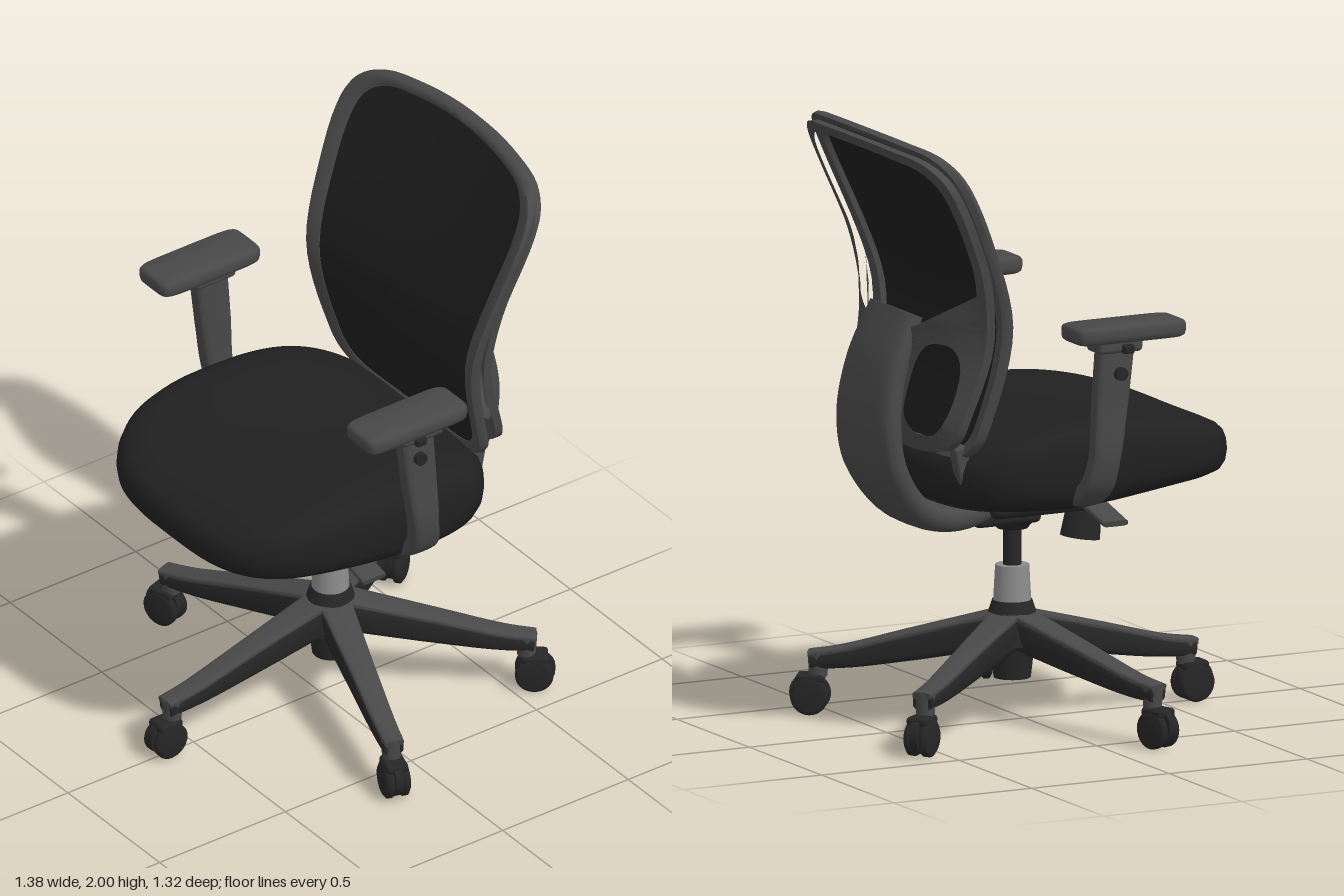
import * as THREE from 'three';
import { toCreasedNormals } from 'three/addons/utils/BufferGeometryUtils.js';
import { RoundedBoxGeometry } from 'three/addons/geometries/RoundedBoxGeometry.js';

const V = (x, y, z) => new THREE.Vector3(x, y, z);
const { lerp, smoothstep } = THREE.MathUtils;

// Skin a list of equal-length closed loops; turns faces outward by signed volume.
function loft(loops, { wrap = false, caps = false, crease = 0.7 } = {}) {
  if (caps) {
    const mid = (l) => {
      const c = l.reduce((a, p) => a.add(p), V(0, 0, 0)).divideScalar(l.length);
      return l.map(() => c.clone());
    };
    loops = [mid(loops[0]), ...loops, mid(loops[loops.length - 1])];
  }
  const n = loops[0].length, tris = [];
  const last = wrap ? loops.length : loops.length - 1;
  for (let i = 0; i < last; i++) {
    const a = loops[i], b = loops[(i + 1) % loops.length];
    for (let j = 0; j < n; j++) {
      const k = (j + 1) % n;
      tris.push([a[j], a[k], b[k]], [a[j], b[k], b[j]]);
    }
  }
  const good = tris.filter(([p, q, r]) => p.distanceTo(q) > 1e-6 && q.distanceTo(r) > 1e-6 && r.distanceTo(p) > 1e-6);
  const vol = good.reduce((s, [p, q, r]) => s + p.dot(q.clone().cross(r)), 0);
  const pts = good.flatMap(([p, q, r]) => (vol < 0 ? [p, r, q] : [p, q, r]));
  return toCreasedNormals(new THREE.BufferGeometry().setFromPoints(pts), crease);
}

// Rounded section swept along points [x, y, z, halfWidth, halfThickness].
function sweep(path, wide, steps = 24, squareness = 4) {
  const curve = new THREE.CatmullRomCurve3(path.map((p) => V(p[0], p[1], p[2])));
  const loops = [];
  for (let i = 0; i <= steps; i++) {
    const t = i / steps, f = t * (path.length - 1), k = Math.min(Math.floor(f), path.length - 2);
    const size = (m) => lerp(path[k][m], path[k + 1][m], f - k);
    const nrm = curve.getTangent(t).cross(wide).normalize(), c = curve.getPoint(t);
    loops.push(superellipse(24, squareness).map(([u, v]) =>
      c.clone().addScaledVector(wide, u * size(3)).addScaledVector(nrm, v * size(4))));
  }
  return loft(loops, { caps: true });
}

function superellipse(n, e) {
  return Array.from({ length: n }, (_, i) => {
    const a = (i / n) * Math.PI * 2, c = Math.cos(a), s = Math.sin(a);
    return [Math.sign(c) * Math.abs(c) ** (2 / e), Math.sign(s) * Math.abs(s) ** (2 / e)];
  });
}

// Halve the longest edge of every triangle until none exceeds max.
function subdivide(geo, max) {
  const p = geo.attributes.position, out = [], stack = [];
  for (let i = 0; i < p.count; i += 3) stack.push([0, 1, 2].map((k) => V(0, 0, 0).fromBufferAttribute(p, i + k)));
  while (stack.length) {
    const t = stack.pop();
    const len = t.map((v, k) => v.distanceTo(t[(k + 1) % 3]));
    const longest = Math.max(...len), k = len.indexOf(longest);
    if (longest <= max) { out.push(...t); continue; }
    const a = t[k], b = t[(k + 1) % 3], c = t[(k + 2) % 3], m = a.clone().lerp(b, 0.5);
    stack.push([a, m, c], [m, b, c]);
  }
  return out;
}

// Curved surface of the backrest: lumbar bulge, leaning top, hollow across.
function backZ(x, y) {
  const lean = Math.hypot(y - 1.36, 0.15) - 0.15;
  return -0.272 - (y > 1.36 ? 0.48 : 0.32) * lean - (0.01 + 0.052 * (y - 0.95)) * (1 - (x / 0.5) ** 2);
}

// Backrest outline, mirrored about x = 0.
const half = [[0.25, 1.99], [0.42, 1.965], [0.49, 1.91], [0.51, 1.82], [0.49, 1.6],
  [0.455, 1.35], [0.42, 1.1], [0.395, 1.0], [0.33, 0.95]];
const ring = [[0, 2], ...half, [0, 0.94], ...half.map(([x, y]) => [-x, y]).reverse()];
const outline = new THREE.CatmullRomCurve3(ring.map(([x, y]) => V(x, y, 0)), true).getPoints(96).slice(0, -1);
const inset = (sx, sy = 1 - (1 - sx) * 0.45) => outline.map((p) => [p.x * sx, 1.46 + (p.y - 1.46) * sy]);
const onBack = (list, dz) => list.map(([x, y]) => V(x, y, backZ(x, y) + dz));

export function createModel() {
  const chair = new THREE.Group();
  const material = (name, color, side = THREE.FrontSide) => {
    const m = new THREE.MeshStandardMaterial({ color, side });
    m.name = name;
    return m;
  };
  const fabric = material('black fabric', 0x202020);
  const netting = material('black netting', 0x1d1d1d, THREE.DoubleSide);
  const grey = material('dark grey plastic', 0x484848);
  const black = material('black plastic', 0x262626);
  const metal = material('light grey metal', 0x8c8c8c);
  const add = (name, geo, mat, x = 0, y = 0, z = 0, parent = chair) => {
    const m = new THREE.Mesh(geo, mat);
    m.name = name;
    m.position.set(x, y, z);
    parent.add(m);
    return m;
  };
  const cyl = (top, bottom, h, n = 28) => new THREE.CylinderGeometry(top, bottom, h, n);
  const X = V(1, 0, 0), Z = V(0, 0, 1), hubZ = -0.045;

  // Seat cushion: rounded plan with blunt edges and a top falling to front and rear
  const plan = superellipse(80, 3.3);
  const cushion = [[0.01, 0], [0.8, 0], [0.91, 0.03], [0.965, 0.11], [0.99, 0.24], [1, 0.45],
    [0.994, 0.66], [0.975, 0.81], [0.935, 0.91], [0.86, 0.965], [0.7, 0.99], [0.4, 1], [0.01, 1]];
  add('seatCushion', loft(cushion.map(([s, h]) => plan.map(([u, v]) => {
    const z = 0.085 + v * s * 0.525;
    const top = 1.042 + 0.022 * (u * s) ** 2 - 0.32 * (z - 0.1) ** 2;
    const low = 0.77 + 0.045 * smoothstep(z, -0.1, 0.4);
    return V(u * s * 0.51 * (1 - 0.05 * v * Math.abs(v)), low + (top - low) * h, z);
  })), { caps: true, crease: 1.2 }), fabric);
  add('seatPan', loft([[0.7, 0.755], [0.84, 0.765], [0.88, 0.8]].map(([s, y]) =>
    plan.map(([u, v]) => V(u * s * 0.45, y, -0.08 + v * s * 0.36))), { caps: true }), black);

  // Backrest: netting, front rim and rear carrier that bows back to the spine
  const net = inset(0.9);
  add('backNetting', loft([0, 0.2, 0.4, 0.6, 0.8, 1].map((k) =>
    onBack(net.map(([x, y]) => [x * k, 1.46 + (y - 1.46) * k]), -0.01)), { crease: 1 }), netting);
  add('backRim', loft([[0.985, 0], [0.92, 0.002], [0.872, -0.008], [0.88, -0.03], [0.98, -0.038], [1, -0.018]]
    .map(([s, dz]) => onBack(inset(s), dz)), { wrap: true, crease: 0.9 }), grey);
  const to2 = (list) => list.map(([x, y]) => new THREE.Vector2(x, y));
  const frame = new THREE.Shape(to2(inset(0.96, 0.95)));
  frame.holes.push(new THREE.Path(to2(inset(0.87, 0.89).map(([x, y]) =>
    [x, Math.max(y, 1.35 + Math.max(0, Math.abs(x) - 0.15) * 0.55)]))));
  for (const s of [-1, 1]) {
    frame.holes.push(new THREE.Path(to2(superellipse(32, 2.6).map(([u, v]) =>
      [s * (0.262 + u * 0.095 + v * 0.015), 1.17 + v * 0.15]))));
  }
  const flat = new THREE.ExtrudeGeometry(frame, { depth: 0.03, bevelEnabled: false });
  const bent = subdivide(flat, 0.06).map(({ x, y, z }) => {
    const lower = (1 - smoothstep(y, 1.38, 1.62)) * smoothstep(y, 0.85, 1.1);
    const gap = 0.068 + lower * (0.02 + 0.12 * Math.max(0, 1 - (x / 0.43) ** 2));
    return V(x, y, backZ(x, y) - gap + z);
  });
  add('backCarrier', toCreasedNormals(new THREE.BufferGeometry().setFromPoints(bent), 0.7), grey);
  add('spine', sweep([[0, 0.735, -0.1, 0.09, 0.035], [0, 0.695, -0.28, 0.12, 0.045], [0, 0.735, -0.43, 0.16, 0.05],
    [0, 0.88, -0.54, 0.185, 0.05], [0, 1.04, -0.565, 0.185, 0.048], [0, 1.22, -0.535, 0.17, 0.045],
    [0, 1.39, -0.465, 0.15, 0.04]], X, 36, 3), grey);

  // Tilt mechanism, knob and gas column
  add('mechanism', new RoundedBoxGeometry(0.27, 0.1, 0.42, 3, 0.03), black, 0, 0.735, 0.03);
  add('columnSocket', cyl(0.1, 0.05, 0.06), black, 0, 0.66, hubZ);
  add('rearBracket', new RoundedBoxGeometry(0.18, 0.07, 0.24, 3, 0.02), black, 0, 0.69, -0.1);
  add('tensionKnob', cyl(0.055, 0.065, 0.12), black, 0, 0.635, 0.21).rotation.x = 0.15;
  add('knobNeck', cyl(0.035, 0.035, 0.08), black, 0, 0.71, 0.2);
  add('columnRod', cyl(0.03, 0.03, 0.2), black, 0, 0.57, hubZ);
  add('columnSleeve', cyl(0.055, 0.062, 0.13), metal, 0, 0.445, hubZ);

  const padPlan = superellipse(48, 7);
  for (const s of [-1, 1]) {
    const side = s > 0 ? 'left' : 'right';
    // Armrest with its support, collar and buttons
    const arm = new THREE.Group();
    arm.name = side + 'Armrest';
    chair.add(arm);
    add('armSupport', sweep([[0.22, 0.78, -0.03, 0.07, 0.02], [0.42, 0.795, -0.03, 0.065, 0.025],
      [0.53, 0.855, -0.02, 0.055, 0.03], [0.56, 0.95, -0.005, 0.05, 0.032], [0.56, 1.14, 0.015, 0.06, 0.032],
      [0.56, 1.35, 0.035, 0.065, 0.032]].map(([x, ...r]) => [x * s, ...r]), Z, 30), grey, 0, 0, 0, arm);
    add('armCollar', new RoundedBoxGeometry(0.1, 0.05, 0.16, 2, 0.015), grey, s * 0.565, 1.33, 0.03, arm);
    add('armPad', loft([[0.012, 1.345], [0.003, 1.352], [0, 1.365], [0, 1.388], [0.004, 1.396], [0.012, 1.4]]
      .map(([d, y]) => padPlan.map(([u, v]) => V(s * 0.565 + u * (0.084 - d), y, 0.0625 + v * (0.197 - d)))),
    { caps: true }), grey, 0, 0, 0, arm);
    add('heightButton', cyl(0.022, 0.022, 0.03, 16), black, s * 0.595, 1.235, 0.035, arm).rotation.z = Math.PI / 2;
    add('padButton', new RoundedBoxGeometry(0.03, 0.03, 0.04, 2, 0.008), black, s * 0.62, 1.32, 0.05, arm);
    // Paddle lever under the seat
    add(side + 'Lever', sweep([[0.1, 0.785, 0.1, 0.015, 0.012], [0.2, 0.765, 0.1, 0.018, 0.012],
      [0.3, 0.742, 0.1, 0.045, 0.012], [0.44, 0.708, 0.1, 0.045, 0.01]].map(([x, ...r]) => [x * s, ...r]), Z), grey);
    // Stub joining the backrest to the seat
    add(side + 'BackStub', new RoundedBoxGeometry(0.05, 0.16, 0.05, 2, 0.012), grey, s * 0.31, 0.91, -0.39).rotation.x = -0.2;
  }

  // Five-star base with twin-wheel casters
  add('hubCone', cyl(0.065, 0.11, 0.14), black, 0, 0.325, hubZ);
  add('hubFoot', cyl(0.075, 0.06, 0.13), black, 0, 0.205, hubZ);
  const legPath = [[0, 0.3, 0.03, 0.055, 0.06], [0, 0.237, 0.31, 0.043, 0.048],
    [0, 0.187, 0.55, 0.036, 0.032], [0, 0.176, 0.655, 0.033, 0.025]];
  const legBody = sweep(legPath, X);
  const legCap = sweep(legPath.map(([x, y, z, w, t]) => [x, y + t * 0.86, z + t * 0.2, w * 0.98, 0.012]), X);
  const hoodGeo = cyl(0.063, 0.063, 0.026, 24);
  const wheelGeo = new THREE.LatheGeometry([[0, -0.016], [0.05, -0.016], [0.062, -0.008], [0.062, 0.008],
    [0.05, 0.016], [0, 0.016]].map(([r, y]) => new THREE.Vector2(r, y)), 28);
  for (let i = 0; i < 5; i++) {
    const leg = new THREE.Group();
    leg.name = 'baseLeg' + (i + 1);
    leg.position.z = hubZ;
    leg.rotation.y = (i * Math.PI * 2) / 5;
    chair.add(leg);
    add('legBody', legBody, black, 0, 0, 0, leg);
    add('legTop', legCap, grey, 0, 0, 0, leg);
    add('legTip', cyl(0.035, 0.03, 0.08, 20), grey, 0, 0.165, 0.63, leg);
    add('casterHood', hoodGeo, black, 0, 0.072, 0.66, leg).rotation.z = Math.PI / 2;
    add('casterFender', new RoundedBoxGeometry(0.075, 0.03, 0.09, 2, 0.012), black, 0, 0.118, 0.655, leg);
    for (const s of [-1, 1]) {
      add('casterWheel', wheelGeo, black, s * 0.026, 0.062, 0.655, leg).rotation.z = Math.PI / 2;
    }
  }
  return chair;
}
